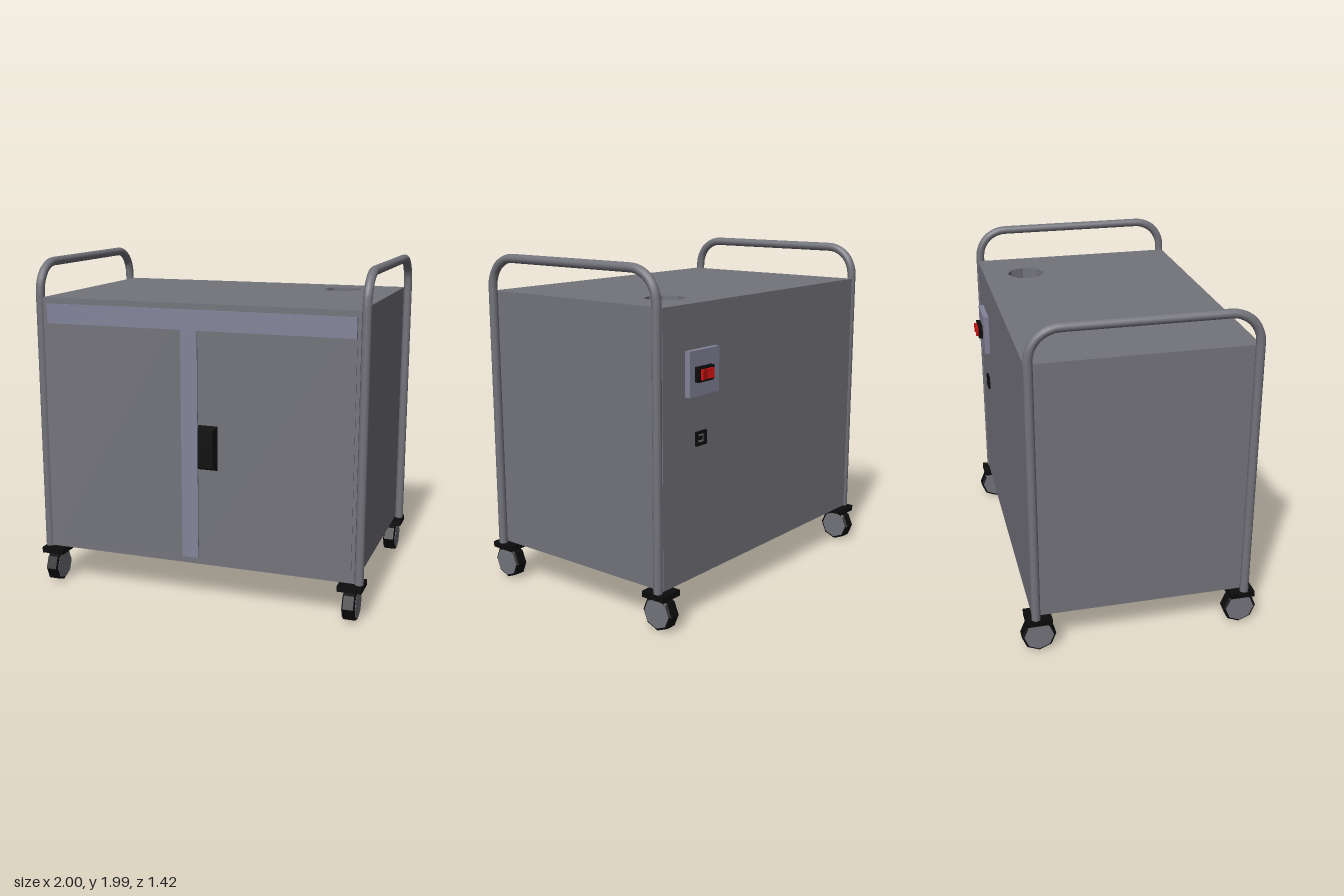
import * as THREE from 'three';

const mat = (color, flatShading = false) => new THREE.MeshStandardMaterial({ color, flatShading });
const steel = mat(0x73737b);
const steelFlat = mat(0x73737b, true);
const trim = mat(0x83839a);
const black = mat(0x0c0c0c, true);
const red = mat(0xd01010, true);

function add(parent, name, geometry, material) {
  const mesh = new THREE.Mesh(geometry, material);
  mesh.name = name;
  parent.add(mesh);
  return mesh;
}

// Box given by its limits on each axis
function block(parent, name, [x0, x1], [y0, y1], [z0, z1], material) {
  const mesh = add(parent, name, new THREE.BoxGeometry(x1 - x0, y1 - y0, z1 - z0), material);
  mesh.position.set((x0 + x1) / 2, (y0 + y1) / 2, (z0 + z1) / 2);
  return mesh;
}

function rectangle(w, h) {
  return [[-w, -h], [w, -h], [w, h], [-w, h]].map(([x, y]) => new THREE.Vector2(x / 2, y / 2));
}

// Cabinet: plain lower box, upper slab with an octagonal well for cables
function cabinet() {
  const g = new THREE.Group();
  g.name = 'cabinet';
  const front = 0.643, back = -0.632, top = 1.765, well = 0.3;
  block(g, 'cabinetBody', [-0.95, 0.95], [0.23, top - well], [back, front], steel);

  const slab = new THREE.Shape([
    new THREE.Vector2(-0.95, -front), new THREE.Vector2(0.95, -front),
    new THREE.Vector2(0.95, -back), new THREE.Vector2(-0.95, -back),
  ]);
  const hole = [];
  for (let i = 0; i < 8; i++) {
    const a = (i / 8) * Math.PI * 2;
    hole.push(new THREE.Vector2(0.61 + 0.117 * Math.cos(a), 0.365 + 0.117 * Math.sin(a)));
  }
  slab.holes.push(new THREE.Path(hole));
  const geometry = new THREE.ExtrudeGeometry(slab, { depth: well, bevelEnabled: false });
  geometry.rotateX(-Math.PI / 2);
  add(g, 'cabinetTop', geometry, steelFlat).position.y = top - well;
  return g;
}

// Two doors with trim strips and a tapered pull
function doors() {
  const g = new THREE.Group();
  g.name = 'doors';
  block(g, 'leafRight', [-0.92, -0.08], [0.27, 1.73], [0.63, 0.649], steel);
  block(g, 'leafLeft', [0.02, 0.93], [0.27, 1.73], [0.63, 0.649], steel);
  block(g, 'topTrimRight', [-0.92, -0.08], [1.615, 1.73], [0.63, 0.656], trim);
  block(g, 'topTrimLeft', [-0.08, 0.93], [1.615, 1.73], [0.63, 0.66], trim);
  block(g, 'centreTrim', [-0.08, 0.02], [0.27, 1.615], [0.63, 0.658], trim);

  const pull = block(g, 'doorPull', [0.02, 0.14], [0.81, 1.075], [0.645, 0.695], black);
  const p = pull.geometry.attributes.position;
  for (let i = 0; i < p.count; i++) {
    if (p.getZ(i) > 0) p.setXY(i, p.getX(i) * 0.75, p.getY(i) * 0.83);
  }
  pull.geometry.computeVertexNormals();
  return g;
}

// Bent tube: front post, top grip and rear post in one piece
function sideRail(side) {
  const x = side * 0.974, zf = 0.629, zb = -0.614, top = 1.96, r = 0.17, base = 0.22;
  const v = (y, z) => new THREE.Vector3(x, y, z);
  const points = [v(base, zf)];
  const steps = 8;
  for (let i = 0; i <= steps; i++) {
    const a = (i / steps) * Math.PI / 2;
    points.push(v(top - r + r * Math.sin(a), zf - r + r * Math.cos(a)));
  }
  for (let i = 0; i <= steps; i++) {
    const a = (i / steps) * Math.PI / 2;
    points.push(v(top - r + r * Math.cos(a), zb + r - r * Math.sin(a)));
  }
  points.push(v(base, zb));
  const path = new THREE.CurvePath();
  for (let i = 1; i < points.length; i++) path.add(new THREE.LineCurve3(points[i - 1], points[i]));
  return new THREE.TubeGeometry(path, 180, 0.026, 12, false);
}

// Caster: mounting plate, fork block, octagonal tyre with grey faces
function caster(x, z) {
  const g = new THREE.Group();
  g.name = 'caster';
  block(g, 'casterPlate', [-0.07, 0.07], [0.19, 0.225], [-0.075, 0.075], black);
  block(g, 'casterNeck', [-0.037, 0.037], [0.15, 0.195], [-0.05, 0.05], black);
  const profile = [[0, -0.038], [0.087, -0.038], [0.1, -0.03], [0.1, 0.03], [0.087, 0.038], [0, 0.038]]
    .map(([r, y]) => new THREE.Vector2(r, y));
  const tyre = add(g, 'tyre', new THREE.LatheGeometry(profile, 8), black);
  const hub = add(g, 'wheelHub', new THREE.CylinderGeometry(0.086, 0.086, 0.08, 8), steelFlat);
  for (const m of [tyre, hub]) {
    m.rotation.z = Math.PI / 2;
    m.position.y = 0.1;
  }
  g.position.set(x, 0, z);
  return g;
}

// Rear power panel: plate, framed rocker switch and inlet socket
function powerPanel() {
  const g = new THREE.Group();
  g.name = 'powerPanel';
  block(g, 'switchPlate', [0.51, 0.765], [1.27, 1.52], [-0.664, -0.63], trim);
  block(g, 'switchBezel', [0.588, 0.722], [1.35, 1.432], [-0.69, -0.66], black);

  const rocker = new THREE.Shape([[-0.048, 0], [0.048, 0], [0.048, 0.02], [0, 0.009], [-0.048, 0.02]]
    .map(([x, y]) => new THREE.Vector2(x, y)));
  const rockerGeometry = new THREE.ExtrudeGeometry(rocker, { depth: 0.056, bevelEnabled: false });
  rockerGeometry.rotateX(-Math.PI / 2);
  add(g, 'rockerSwitch', rockerGeometry, red).position.set(0.656, 1.363, -0.687);

  const frame = new THREE.Shape(rectangle(0.09, 0.08));
  frame.holes.push(new THREE.Path(rectangle(0.06, 0.05)));
  const frameGeometry = new THREE.ExtrudeGeometry(frame, { depth: 0.013, bevelEnabled: false });
  add(g, 'socketFrame', frameGeometry, black).position.set(0.635, 1.025, -0.644);
  block(g, 'socketPins', [0.622, 0.648], [1.015, 1.035], [-0.64, -0.63], black);
  return g;
}

export function createModel() {
  const model = new THREE.Group();
  model.name = 'serviceCart';
  model.add(cabinet(), doors(), powerPanel());
  for (const side of [-1, 1]) {
    add(model, 'sideRail', sideRail(side), steel);
    for (const z of [0.613, -0.597]) model.add(caster(side * 0.93, z));
  }
  return model;
}
